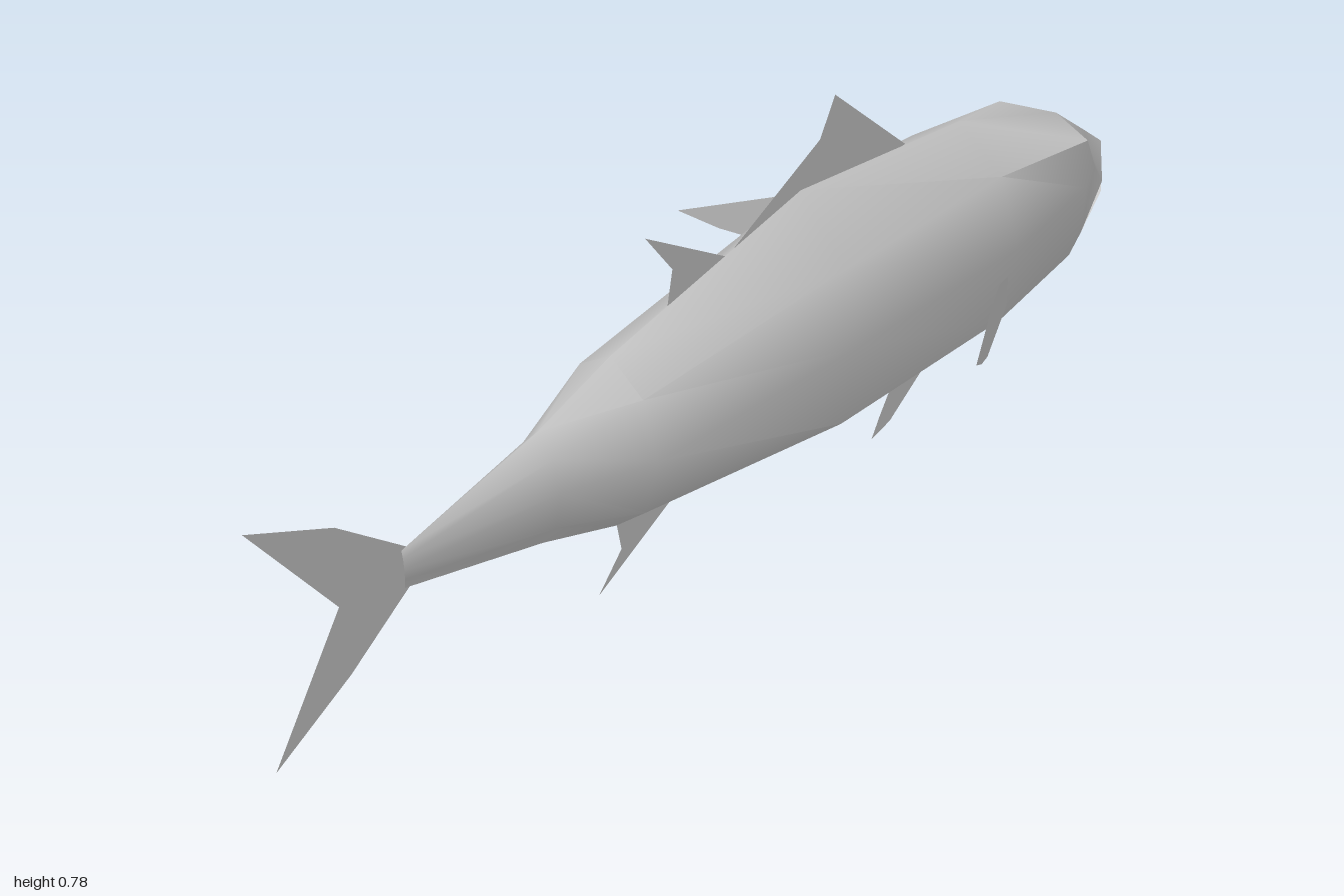
import * as THREE from 'three';
import { toCreasedNormals } from 'three/addons/utils/BufferGeometryUtils.js';

const grey = new THREE.MeshStandardMaterial({ color: 0xcccccc, side: THREE.DoubleSide });

// Skins a grid of points on the +x half (rows tail to head, columns top to bottom) and mirrors it.
function addPatch(out, rows) {
  const tri = (a, b, c) => {
    const [p, q, r] = [a, b, c].map((v) => new THREE.Vector3(...v));
    if (q.sub(p).cross(r.sub(p)).length() < 1e-7) return;
    out.push(...a, ...b, ...c);
    for (const [x, y, z] of [a, c, b]) out.push(-x, y, z);
  };
  for (let i = 0; i < rows.length - 1; i++) {
    for (let j = 0; j < rows[i].length - 1; j++) {
      const a = rows[i][j], b = rows[i + 1][j], c = rows[i + 1][j + 1], d = rows[i][j + 1];
      tri(a, d, c);
      tri(a, c, b);
    }
  }
}

function skin(name, patches) {
  const out = [];
  patches.forEach((rows) => addPatch(out, rows));
  const geo = new THREE.BufferGeometry();
  geo.setAttribute('position', new THREE.Float32BufferAttribute(out, 3));
  const mesh = new THREE.Mesh(toCreasedNormals(geo, 0.75), grey);
  mesh.name = name;
  return mesh;
}

// Flat fin outlined by [z, y] points; xAt gives the sideways offset for each z.
function fin(name, outline, xAt = () => 0) {
  const geo = new THREE.ShapeGeometry(new THREE.Shape(outline.map((p) => new THREE.Vector2(...p))));
  const pos = geo.attributes.position;
  for (let i = 0; i < pos.count; i++) {
    const z = pos.getX(i);
    pos.setXYZ(i, xAt(z), pos.getY(i), z);
  }
  geo.computeVertexNormals();
  const mesh = new THREE.Mesh(geo, grey);
  mesh.name = name;
  return mesh;
}

export function createModel() {
  const group = new THREE.Group();

  // Trunk: z, top y, upper x/y, middle x, lower x/y, bottom y
  const trunk = [
    [0.73, 0.415, 0.002, 0.4, 0.003, 0.002, 0.36, 0.342],
    [0.45, 0.477, 0.033, 0.44, 0.045, 0.033, 0.305, 0.256],
    [0.29, 0.535, 0.07, 0.485, 0.1, 0.07, 0.26, 0.193],
    [-0.15, 0.632, 0.1, 0.522, 0.13, 0.1, 0.205, 0.133],
    [-0.56, 0.58, 0.1, 0.51, 0.145, 0.115, 0.212, 0.148],
  ].map(([z, top, ux, uy, mx, lx, ly, bottom]) =>
    [[0, top, z], [ux, uy, z], [mx, 0.38, z], [lx, ly, z], [0, bottom, z]]);
  const [neckTop, neckUp, neckMid, neckLow, neckBottom] = trunk[trunk.length - 1];

  // Head landmarks
  const cheek = [0.112, 0.38, -0.8];
  const corner = [0.11, 0.283, -0.8];
  const upperLip = [[0, 0.342, -1], [0.065, 0.318, -0.92], corner];
  const lowerLip = [[0, 0.312, -1], [0.065, 0.297, -0.92], corner];
  const jawLow = [0.088, 0.222, -0.8], jawBottom = [0, 0.183, -0.8];

  const upperHead = [
    [neckTop, neckUp, neckMid],
    [[0, 0.47, -0.848], [0.1, 0.47, -0.81], cheek],
    [[0, 0.393, -0.94], [0.096, 0.4, -0.845], cheek],
    upperLip,
  ];
  const gills = [
    [neckMid, neckMid, neckLow, neckBottom],
    [cheek, corner, jawLow, jawBottom],
  ];
  const lowerJaw = [
    [corner, jawLow, jawBottom],
    [lowerLip[1], [0.048, 0.248, -0.912], [0, 0.23, -0.912]],
    [lowerLip[0], lowerLip[0], lowerLip[0]],
  ];
  group.add(skin('body', [trunk, upperHead, gills, lowerJaw]));

  // Mouth lining: palate above, floor below
  const centre = ([, y, z]) => [0, y, z];
  group.add(skin('mouth', [
    upperLip.map((p) => [centre(p), p]),
    lowerLip.map((p) => [p, centre(p)]),
  ]));

  // Fins on the midline
  group.add(
    fin('tailFin', [[0.72, 0.417], [0.845, 0.53], [1, 0.612], [0.853, 0.384],
      [1, 0.153], [0.845, 0.245], [0.72, 0.34]]),
    fin('frontDorsalFin', [[-0.415, 0.6], [-0.23, 0.777], [-0.195, 0.708], [0.01, 0.597], [-0.15, 0.58]]),
    fin('rearDorsalFin', [[0.03, 0.592], [0.208, 0.713], [0.15, 0.627], [0.165, 0.55]]),
    fin('analFin', [[0.155, 0.175], [0.335, 0.07], [0.28, 0.137], [0.29, 0.2]]),
    fin('pelvicFin', [[-0.56, 0.15], [-0.5, 0.088], [-0.405, 0.014], [-0.355, 0],
      [-0.375, 0.04], [-0.435, 0.145]]),
  );

  // Paired side fins sweeping outwards and back
  const sideFin = [[-0.56, 0.253], [-0.56, 0.316], [-0.44, 0.392], [-0.375, 0.411],
    [-0.205, 0.417], [-0.27, 0.365], [-0.34, 0.322]];
  for (const [name, s] of [['leftSideFin', 1], ['rightSideFin', -1]]) {
    group.add(fin(name, sideFin, (z) => s * (0.335 + (z + 0.205) * 0.58)));
  }
  return group;
}
